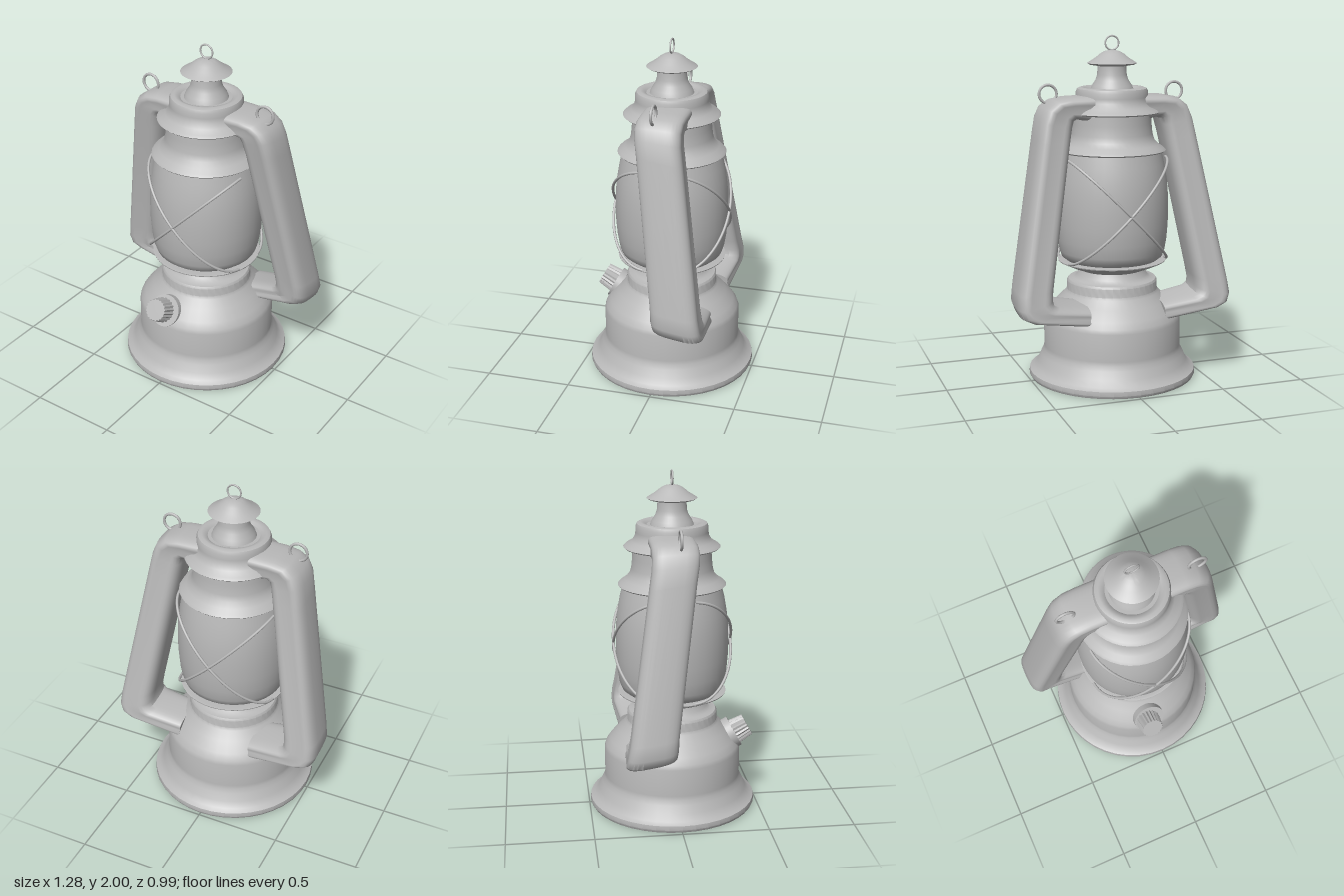
import * as THREE from 'three';
import { toCreasedNormals } from 'three/addons/utils/BufferGeometryUtils.js';

const metal = new THREE.MeshStandardMaterial({ color: 0xb8b8b8 });
metal.name = 'grey metal';

function add(parent, name, geometry) {
  const mesh = new THREE.Mesh(geometry, metal);
  mesh.name = name;
  parent.add(mesh);
  return mesh;
}

function lathe(points, segments = 40) {
  const profile = points.map(([r, y]) => new THREE.Vector2(r, y));
  return toCreasedNormals(new THREE.LatheGeometry(profile, segments), 0.6);
}

// Hollow side arm lofted through sections: outer x,y / inner x,y / centre z / half depth / tilt
function armGeometry(side) {
  const stations = [
    [0.15, 1.665, 0.15, 1.51, -0.025, 0.14, 0],
    [0.29, 1.66, 0.20, 1.525, -0.025, 0.14, 0],
    [0.37, 1.645, 0.235, 1.535, -0.025, 0.14, 0],
    [0.425, 1.605, 0.255, 1.53, -0.025, 0.14, 0.04],
    [0.455, 1.54, 0.266, 1.50, -0.03, 0.14, 0.1],
    [0.475, 1.44, 0.283, 1.42, -0.045, 0.14, 0.14],
    [0.632, 0.60, 0.423, 0.62, -0.165, 0.145, 0.15],
    [0.642, 0.52, 0.432, 0.56, -0.175, 0.15, 0.15],
    [0.625, 0.47, 0.425, 0.53, -0.18, 0.15, 0.15],
    [0.565, 0.44, 0.395, 0.515, -0.185, 0.145, 0.15],
    [0.23, 0.385, 0.22, 0.485, -0.175, 0.135, 0.12],
  ];
  const n = 32, positions = [], index = [];
  const power = (v) => Math.sign(v) * Math.abs(v) ** 0.6;
  const face = (a, b, c) => (side > 0 ? index.push(a, b, c) : index.push(a, c, b));
  stations.forEach(([ox, oy, ix, iy, z, depth, tilt], i) => {
    for (let j = 0; j < n; j++) {
      const t = (j / n) * Math.PI * 2;
      const a = power(Math.cos(t));
      // shallow groove along the front and back of the arm
      const d = power(Math.sin(t)) * depth * (0.94 + 0.06 * a) * (1 - 0.1 * Math.exp(-((a / 0.35) ** 2)));
      const k = (a + 1) / 2;
      positions.push(side * (ix + (ox - ix) * k), iy + (oy - iy) * k + d * tilt, z + d);
      if (i < stations.length - 1) {
        const p = i * n + j, q = i * n + ((j + 1) % n);
        face(p, q, p + n);
        face(q, q + n, p + n);
      }
    }
  });
  // end cap
  const last = (stations.length - 1) * n;
  positions.push(side * 0.225, 0.435, -0.175);
  for (let j = 0; j < n; j++) face(last + n, last + j, last + ((j + 1) % n));
  const g = new THREE.BufferGeometry();
  g.setAttribute('position', new THREE.Float32BufferAttribute(positions, 3));
  g.setIndex(index);
  return toCreasedNormals(g, 0.8);
}

// Crossed guard wire bulging around the globe
function wireGeometry(slope, front) {
  const points = [];
  for (let i = 0; i <= 20; i++) {
    const a = (i / 20 - 0.5) * Math.PI * 0.96;
    points.push(new THREE.Vector3(
      slope * 0.295 * Math.sin(a), 1.005 + 0.3 * Math.sin(a), front * (0.08 + 0.263 * Math.cos(a))));
  }
  return new THREE.TubeGeometry(new THREE.CatmullRomCurve3(points), 40, 0.008, 8);
}

// Tapered knob grip with fluted sides
function knobGeometry() {
  const g = new THREE.CylinderGeometry(0.066, 0.077, 0.1, 40, 1);
  const p = g.attributes.position;
  for (let i = 0; i < p.count; i++) {
    const x = p.getX(i), z = p.getZ(i);
    if (Math.hypot(x, z) < 0.01) continue;
    const step = Math.round((Math.atan2(z, x) / (Math.PI * 2)) * 40);
    if (step % 2) p.setXYZ(i, x * 0.9, p.getY(i), z * 0.9);
  }
  const flat = g.toNonIndexed();
  flat.computeVertexNormals();
  return flat;
}

export function createModel() {
  const model = new THREE.Group();
  model.name = 'lantern';

  // Fuel tank with flared foot and an open hole underneath
  add(model, 'fuelTank', lathe([
    [0.094, 0.03], [0.38, 0.03], [0.43, 0.012], [0.455, 0], [0.485, 0.004], [0.493, 0.02], [0.49, 0.045],
    [0.465, 0.06], [0.44, 0.095], [0.42, 0.14], [0.406, 0.165], [0.403, 0.19], [0.403, 0.35],
    [0.395, 0.375], [0.37, 0.41], [0.32, 0.465], [0.275, 0.51], [0.265, 0.525], [0.265, 0.575],
    [0.257, 0.587], [0.225, 0.592], [0.205, 0.61], [0.19, 0.645],
  ]));

  // Burner plate below the globe
  add(model, 'burnerPlate', lathe([
    [0.19, 0.643], [0.25, 0.667], [0.315, 0.697], [0.317, 0.703], [0.305, 0.705], [0.2, 0.695],
  ]));

  add(model, 'globe', lathe([
    [0.22, 0.695], [0.27, 0.705], [0.295, 0.725], [0.308, 0.76], [0.32, 0.83], [0.327, 0.92],
    [0.328, 1.02], [0.325, 1.11], [0.316, 1.19], [0.302, 1.27], [0.283, 1.35],
  ]));

  // Stepped hood
  add(model, 'hood', lathe([
    [0.2, 1.34], [0.305, 1.338], [0.312, 1.345], [0.3, 1.358], [0.27, 1.378], [0.245, 1.405],
    [0.234, 1.44], [0.228, 1.5], [0.225, 1.555], [0.27, 1.558], [0.278, 1.565], [0.265, 1.577],
    [0.23, 1.597], [0.212, 1.625], [0.208, 1.65], [0.208, 1.68], [0.2, 1.698], [0.18, 1.706],
    [0.16, 1.702], [0.145, 1.69], [0.125, 1.69],
  ]));

  // Chimney and its little cap
  add(model, 'chimney', lathe([
    [0.125, 1.69], [0.115, 1.715], [0.095, 1.745], [0.085, 1.775], [0.082, 1.825], [0.13, 1.833],
    [0.144, 1.841], [0.13, 1.85], [0.095, 1.872], [0.07, 1.893], [0.045, 1.908], [0.02, 1.914], [0, 1.915],
  ]));

  // Ring on top of the chimney
  add(model, 'topRing', new THREE.TorusGeometry(0.04, 0.005, 8, 32)).position.set(0, 1.955, 0);

  for (const side of [1, -1]) {
    const name = side > 0 ? 'left' : 'right';
    add(model, name + 'Arm', armGeometry(side));
    // Handle eyelet
    const eyelet = add(model, name + 'Eyelet', new THREE.TorusGeometry(0.051, 0.008, 10, 32));
    eyelet.position.set(side * 0.382, 1.675, 0);
    for (const front of [1, -1]) {
      add(model, (front > 0 ? 'front' : 'back') + 'GuardWire', wireGeometry(side, front));
    }
  }

  // Wick knob on a sloping plate
  const knob = new THREE.Group();
  knob.name = 'wickKnob';
  knob.position.set(-0.045, 0.43, 0.355);
  knob.rotation.x = Math.PI / 2 - 0.5;
  add(knob, 'knobPlate', new THREE.CylinderGeometry(0.095, 0.095, 0.04, 32).toNonIndexed()).position.y = -0.005;
  add(knob, 'knobGrip', knobGeometry()).position.set(-0.012, 0.05, 0);
  model.add(knob);

  return model;
}
